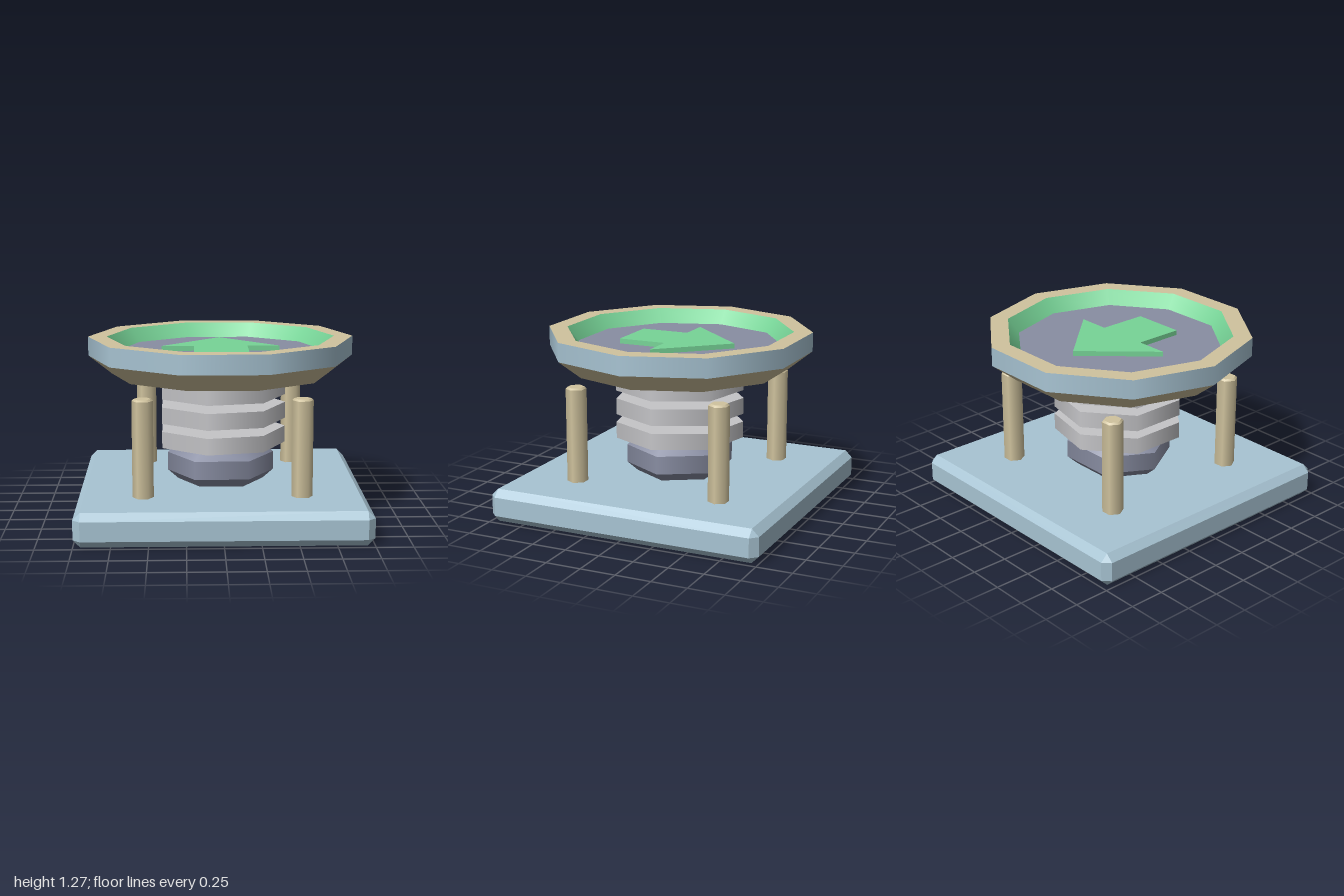
import * as THREE from 'three';
import { ConvexGeometry } from 'three/addons/geometries/ConvexGeometry.js';

function material(name, color) {
  const m = new THREE.MeshStandardMaterial({ color });
  m.name = name;
  return m;
}

export function createModel() {
  const blue = material('pale blue', 0xa8c4d3);
  const tan = material('sand', 0xd0c39e);
  const slate = material('slate', 0x898ea3);
  const green = material('green', 0x77d497);
  const grey = material('light grey', 0xc5c5c8);
  const model = new THREE.Group();
  model.name = 'jumpPad';

  function add(parent, name, geometry, mat) {
    const mesh = new THREE.Mesh(geometry, mat);
    mesh.name = name;
    parent.add(mesh);
    return mesh;
  }

  // Revolves a profile of [radius, y] points; every step is its own sharp-edged
  // band. mats is one material, or one per band. A corner points along +x.
  function turned(name, sides, profile, mats) {
    const group = new THREE.Group();
    group.name = name;
    for (let i = 0; i < profile.length - 1; i++) {
      const pts = [profile[i], profile[i + 1]].map(([r, y]) => new THREE.Vector2(r, y));
      const mat = Array.isArray(mats) ? mats[i] : mats;
      add(group, name + 'Band' + (i + 1), new THREE.LatheGeometry(pts, sides, Math.PI / 2), mat);
    }
    model.add(group);
    return group;
  }

  // Base slab, chamfered on every edge
  const half = [1, 0.1175, 1], bevel = 0.05, corners = [];
  for (const sx of [-1, 1]) for (const sy of [-1, 1]) for (const sz of [-1, 1]) {
    for (let axis = 0; axis < 3; axis++) {
      const [x, y, z] = half.map((h, k) => (k === axis ? h : h - bevel));
      corners.push(new THREE.Vector3(sx * x, sy * y, sz * z));
    }
  }
  add(model, 'base', new ConvexGeometry(corners), blue).position.y = half[1];

  // Corner posts
  for (const x of [-0.545, 0.545]) for (const z of [-0.542, 0.542]) {
    const post = turned('post', 6,
      [[0.073, 0.23], [0.073, 0.905], [0.06, 0.918], [0, 0.918]], tan);
    post.position.set(x, 0, z);
  }

  // Socket under the spring
  turned('socket', 6,
    [[0, 0.232], [0.305, 0.235], [0.38, 0.3], [0.38, 0.43], [0.3, 0.5], [0, 0.5]], slate);

  // Spring coils
  for (const y of [0.502, 0.676, 0.85]) {
    turned('springCoil', 7, [[0, y], [0.463, y], [0.463, y + 0.117], [0, y + 0.117]], grey);
  }

  // Dished launch plate: underside, cone, rim side, rim top, inner wall, floor
  turned('launchPlate', 10,
    [[0, 1.005], [0.775, 1.005], [0.94, 1.135], [0.94, 1.27], [0.808, 1.27], [0.73, 1.17], [0, 1.17]],
    [slate, tan, blue, tan, green, slate]);

  // Raised arrow pointing to the back
  const arrow = new THREE.Shape([
    [0, 0.42], [-0.42, -0.03], [-0.19, -0.03], [-0.19, -0.38],
    [0.19, -0.38], [0.19, -0.03], [0.42, -0.03],
  ].map(([x, y]) => new THREE.Vector2(x, y)));
  const arrowGeometry = new THREE.ExtrudeGeometry(arrow, { depth: 0.04, bevelEnabled: false });
  arrowGeometry.rotateX(-Math.PI / 2);
  add(model, 'arrow', arrowGeometry, green).position.y = 1.165;

  return model;
}
